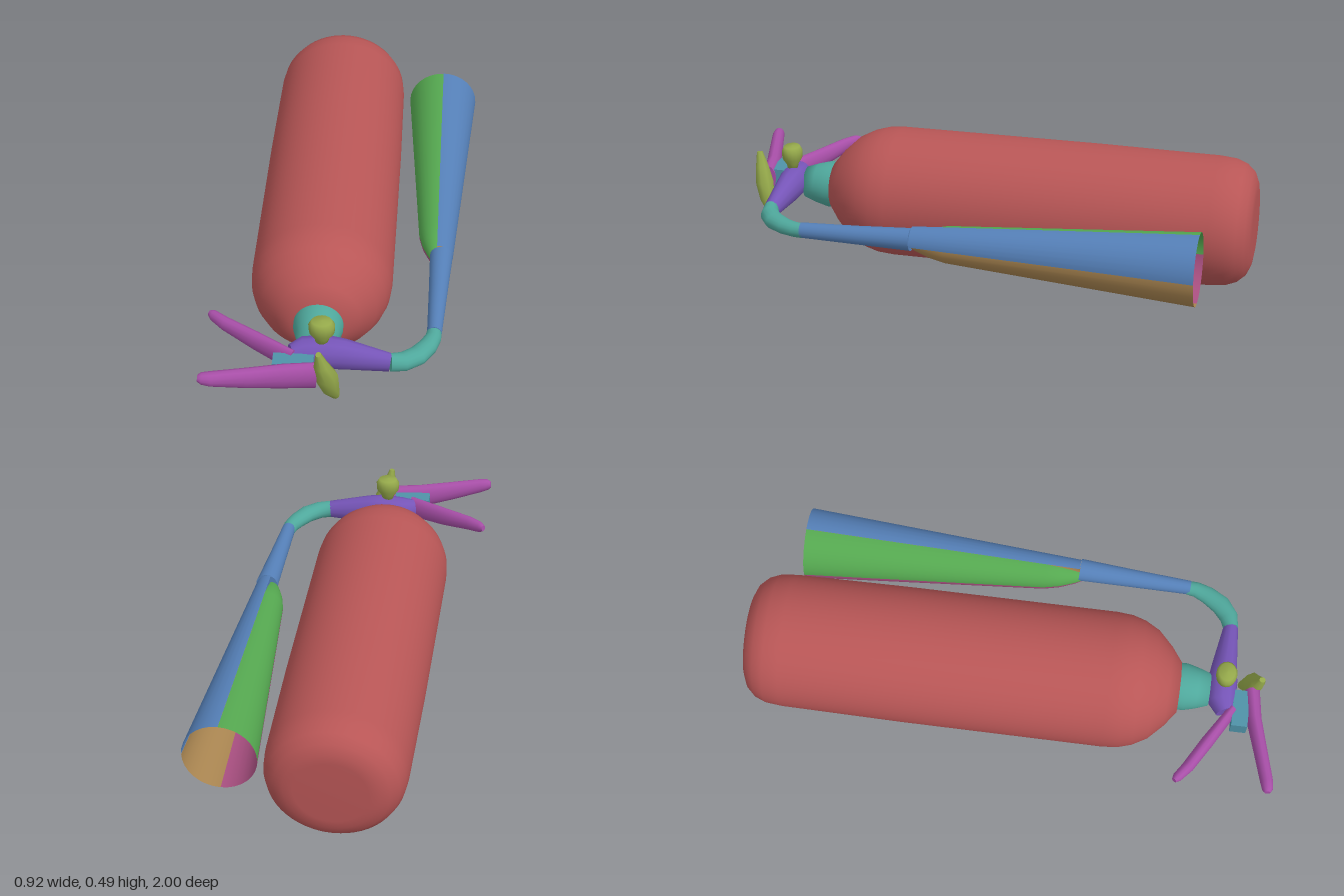
import * as THREE from 'three';

const material = (name, color, extra = {}) =>
  new THREE.MeshStandardMaterial({ name, color, ...extra });

// Closed tube through rings [x, y, z, half width, half height], round or many-sided
function loft(rings, sides = 16, up = new THREE.Vector3(0, 1, 0)) {
  const pos = [], index = [];
  const centres = rings.map(r => new THREE.Vector3(r[0], r[1], r[2]));
  const last = rings.length - 1;
  const ringPoints = rings.map((r, i) => {
    const t = centres[Math.min(i + 1, last)].clone().sub(centres[Math.max(i - 1, 0)]).normalize();
    const u = up.clone().cross(t).normalize();
    const v = t.clone().cross(u);
    return Array.from({ length: sides }, (_, j) => {
      const a = (j / sides) * Math.PI * 2;
      return centres[i].clone()
        .addScaledVector(u, Math.cos(a) * r[3])
        .addScaledVector(v, Math.sin(a) * r[4]);
    });
  });
  const add = p => pos.push(p.x, p.y, p.z) / 3 - 1;
  ringPoints.forEach(ring => ring.forEach(add));
  for (let i = 0; i < last; i++) {
    for (let j = 0; j < sides; j++) {
      const k = (j + 1) % sides;
      const a = i * sides + j, b = i * sides + k;
      index.push(a, b, a + sides, b, b + sides, a + sides);
    }
  }
  // End caps with their own corners, so the rims stay sharp
  for (const end of [0, last]) {
    const c = add(centres[end]);
    const rim = ringPoints[end].map(add);
    rim.forEach((a, j) => {
      const b = rim[(j + 1) % sides];
      if (end === 0) index.push(c, b, a);
      else index.push(c, a, b);
    });
  }
  const g = new THREE.BufferGeometry();
  g.setAttribute('position', new THREE.Float32BufferAttribute(pos, 3));
  g.setIndex(index);
  g.computeVertexNormals();
  return g;
}

// Lathe whose axis runs along z; points are [radius, z]
function latheZ(points, segments = 48, start = 0, length = Math.PI * 2) {
  const pts = points.map(p => new THREE.Vector2(p[0], p[1]));
  return new THREE.LatheGeometry(pts, segments, start, length).rotateX(Math.PI / 2);
}

export function createModel() {
  const group = new THREE.Group();
  const two = { side: THREE.DoubleSide };
  const red = material('tank red', 0xb85656);
  const teal = material('fitting teal', 0x4fa89c);
  const purple = material('valve purple', 0x7655b8);
  const magenta = material('lever magenta', 0xa84fa8);
  const olive = material('knob olive', 0x94a84a);
  const cyan = material('gauge cyan', 0x4f92a8);
  const blue = material('horn blue', 0x5580b8, two);
  const green = material('horn green', 0x55a850, two);
  const tan = material('horn tan', 0xa88450, two);
  const pink = material('horn pink', 0xa84f80, two);
  const part = (name, geometry, mat) => {
    const mesh = new THREE.Mesh(geometry, mat);
    mesh.name = name;
    group.add(mesh);
    return mesh;
  };

  // Tank lying along z, with a rounded base and a domed shoulder
  const tank = part('tank', latheZ([
    [0, -1], [0.13, -1], [0.165, -0.995], [0.2, -0.98], [0.228, -0.95], [0.244, -0.91],
    [0.25, -0.85], [0.255, -0.4], [0.255, 0.36], [0.25, 0.42], [0.235, 0.47],
    [0.205, 0.525], [0.15, 0.58], [0.095, 0.622], [0, 0.625]
  ], 56), red);
  tank.scale.y = 0.96;
  tank.position.set(-0.085, 0.247, 0);

  // Neck
  part('neck', latheZ([[0.088, 0.6], [0.088, 0.645], [0.076, 0.69], [0.06, 0.735], [0, 0.735]], 32), teal)
    .position.set(-0.08, 0.25, 0);

  // Valve body narrowing toward the hose
  part('valveBody', loft([
    [-0.16, 0.255, 0.8, 0.035, 0.045], [-0.12, 0.258, 0.782, 0.054, 0.056],
    [-0.04, 0.26, 0.78, 0.055, 0.062], [0.02, 0.255, 0.782, 0.047, 0.058],
    [0.18, 0.235, 0.793, 0.028, 0.035]
  ], 12), purple);

  // Gauge block under the front lever
  const gauge = part('gaugeBlock', new THREE.BoxGeometry(0.14, 0.075, 0.06), cyan);
  gauge.position.set(-0.15, 0.25, 0.855);

  // Pair of squeeze levers
  part('frontLever', loft([
    [-0.462, 0.295, 0.978, 0.012, 0.012], [-0.45, 0.294, 0.978, 0.02, 0.022],
    [-0.42, 0.289, 0.973, 0.024, 0.028], [-0.3, 0.272, 0.942, 0.026, 0.04],
    [-0.18, 0.258, 0.91, 0.028, 0.05], [-0.07, 0.253, 0.893, 0.03, 0.052]
  ], 12), magenta);
  part('rearLever', loft([
    [-0.459, 0.295, 0.637, 0.01, 0.012], [-0.445, 0.293, 0.648, 0.018, 0.022],
    [-0.4, 0.286, 0.682, 0.022, 0.028], [-0.29, 0.27, 0.745, 0.024, 0.038],
    [-0.155, 0.255, 0.825, 0.02, 0.046]
  ], 12), magenta);

  // Top knob and the pull tab in front of the valve
  const knobPoints = [[0, 0.31], [0.022, 0.31], [0.026, 0.33], [0.044, 0.355],
    [0.046, 0.385], [0.035, 0.403], [0, 0.406]];
  const knob = part('topKnob', new THREE.LatheGeometry(
    knobPoints.map(p => new THREE.Vector2(p[0], p[1])), 16), olive);
  knob.position.set(-0.056, 0, 0.785);
  knob.scale.z = 0.85;
  part('pullTab', loft([
    [-0.005, 0.13, 0.858, 0.014, 0.012], [-0.022, 0.19, 0.882, 0.032, 0.03],
    [-0.035, 0.25, 0.895, 0.042, 0.035], [-0.05, 0.31, 0.908, 0.026, 0.026],
    [-0.058, 0.367, 0.918, 0.01, 0.012]
  ], 8, new THREE.Vector3(0, 0, 1)), olive);

  // Hose elbow
  part('hoseElbow', loft([
    [0.18, 0.235, 0.793, 0.028, 0.035], [0.225, 0.232, 0.782, 0.035, 0.033],
    [0.27, 0.23, 0.748, 0.038, 0.031], [0.305, 0.228, 0.695, 0.034, 0.029],
    [0.323, 0.228, 0.65, 0.029, 0.028], [0.327, 0.228, 0.615, 0.026, 0.028]
  ], 16), teal);

  // Hose pipe growing into the horn
  part('hornPipe', loft([
    [0.327, 0.23, 0.625, 0.026, 0.029], [0.335, 0.236, 0.4, 0.034, 0.035],
    [0.342, 0.243, 0.2, 0.042, 0.042]
  ], 20), blue);

  // Hollow horn made of four quarter shells
  const quarter = Math.PI / 2;
  const lower = [[0.133, -0.845], [0.068, 0.07], [0.055, 0.13], [0.035, 0.185], [0.015, 0.225]];
  const upper = [[0.134, -0.845], [0.059, 0.2]];
  [
    ['hornLowerLeft', tan, lower], ['hornUpperLeft', blue, upper],
    ['hornUpperRight', green, lower], ['hornLowerRight', pink, lower]
  ].forEach(([name, mat, profile], i) => {
    part(name, latheZ(profile, 8, i * quarter, quarter), mat).position.set(0.325, 0.229, 0);
  });

  return group;
}
